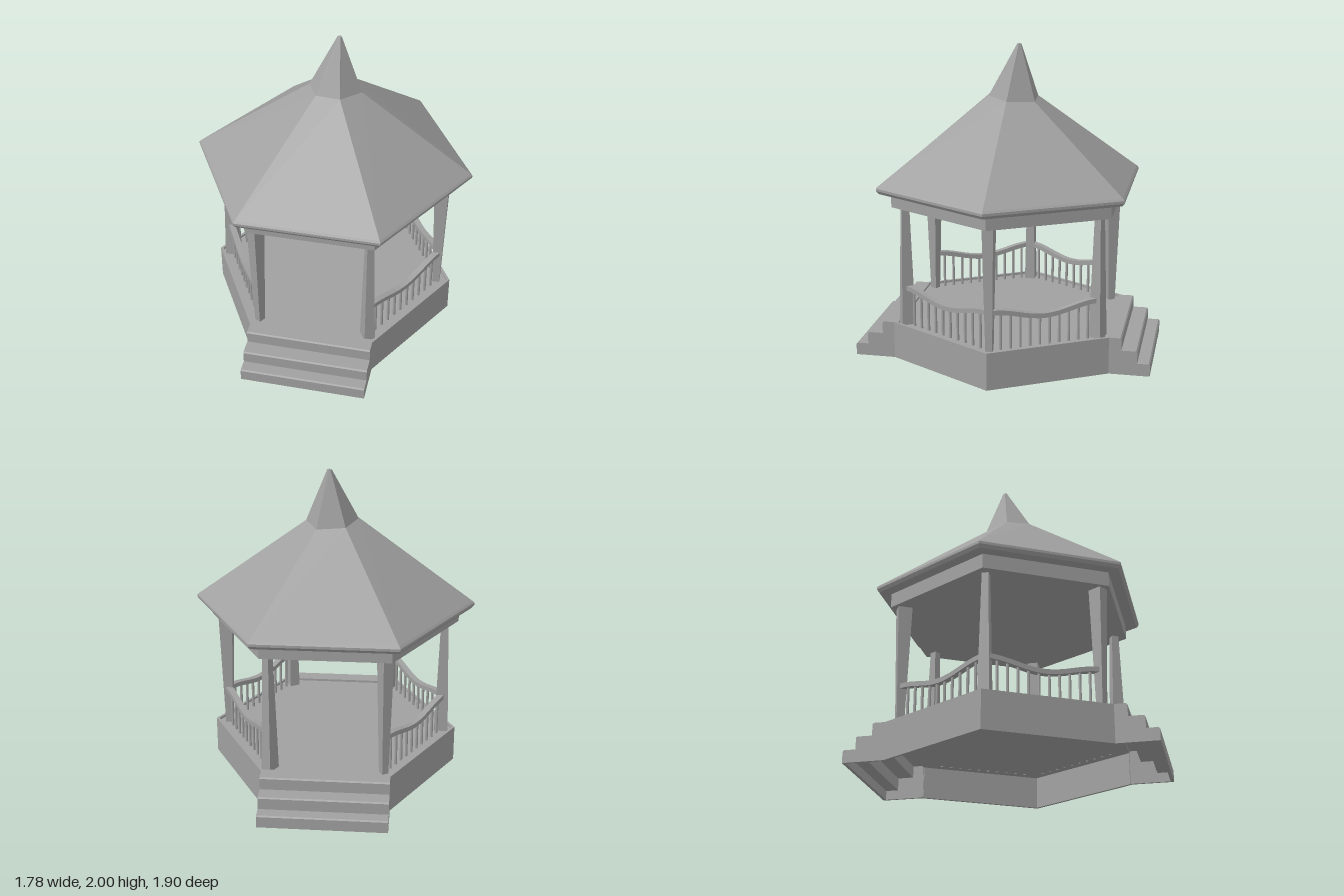
import * as THREE from 'three';

const grey = new THREE.MeshStandardMaterial({ color: 0xa0a0a0 });
grey.name = 'stone grey';
const V = (x, y, z) => new THREE.Vector3(x, y, z);

// Closed flat-faced solid through a series of rings with equal point counts
function loft(rings) {
  const pos = [];
  const tri = (...pts) => pts.forEach((p) => pos.push(p.x, p.y, p.z));
  const n = rings[0].length;
  for (let r = 0; r < rings.length - 1; r++) {
    const a = rings[r], b = rings[r + 1];
    for (let i = 0; i < n; i++) {
      const j = (i + 1) % n;
      tri(a[i], a[j], b[j]);
      tri(a[i], b[j], b[i]);
    }
  }
  const first = rings[0], last = rings[rings.length - 1];
  for (let i = 1; i < n - 1; i++) {
    tri(first[0], first[i + 1], first[i]);
    tri(last[0], last[i], last[i + 1]);
  }
  const g = new THREE.BufferGeometry();
  g.setAttribute('position', new THREE.Float32BufferAttribute(pos, 3));
  g.computeVertexNormals();
  return g;
}

function add(parent, name, geometry) {
  const m = new THREE.Mesh(geometry, grey);
  m.name = name;
  parent.add(m);
  return m;
}

// Hexagon with corners on the x axis, counter-clockwise from above
const hexRing = (r, y, cx = 0, cz = 0) =>
  Array.from({ length: 6 }, (_, i) => {
    const a = (i * Math.PI) / 3;
    return V(cx + r * Math.cos(a), y, cz - r * Math.sin(a));
  });

const rectRing = (w, d, y) =>
  [[1, 1], [1, -1], [-1, -1], [-1, 1]].map(([x, z]) => V((x * w) / 2, y, (z * d) / 2));

function place(object, angle, radius) {
  object.position.set(radius * Math.cos(angle), 0, -radius * Math.sin(angle));
}

// Stepped shell, open underneath, closed by side panels
function makeStairs() {
  const stairs = new THREE.Group();
  stairs.name = 'stairs';
  const c = 0.008;
  const outer = [[0.665, 0.24]];
  [[0.77, 0.24, 0.16], [0.87, 0.16, 0.08], [0.95, 0.08, 0]].forEach(([z, top, low]) => {
    outer.push([z - c, top], [z, top - c], [z, low]);
  });
  const inner = [[0.93, 0], [0.93, 0.06], [0.85, 0.06], [0.85, 0.14],
    [0.75, 0.14], [0.75, 0.215], [0.665, 0.215]];
  const panel = [[0.68, 0], [0.68, 0.24], ...outer.slice(1)];
  const extrude = (pts, depth, x) => {
    const shape = new THREE.Shape(pts.map(([a, b]) => new THREE.Vector2(a, b)));
    return new THREE.ExtrudeGeometry(shape, { depth, bevelEnabled: false })
      .rotateY(-Math.PI / 2).translate(x, 0, 0);
  };
  add(stairs, 'steps', extrude([...outer, ...inner], 0.8, 0.4));
  add(stairs, 'stairSideLeft', extrude(panel, 0.015, 0.4005));
  add(stairs, 'stairSideRight', extrude(panel, 0.015, -0.3855));
  return stairs;
}

// Sagging handrail with balusters, along local x
function makeRailing() {
  const railing = new THREE.Group();
  railing.name = 'railing';
  const height = (x) => 0.472 - 0.056 * Math.cos((x / 0.7) * Math.PI) ** 2;
  const rings = [];
  for (let i = 0; i <= 16; i++) {
    const x = -0.34 + (0.68 * i) / 16, y = height(x);
    rings.push([[-1, -1], [1, -1], [1, 1], [-1, 1]].map(([a, b]) => V(x, y + a * 0.015, b * 0.02)));
  }
  add(railing, 'handrail', loft(rings));
  for (let i = 0; i < 10; i++) {
    const x = -0.285 + (0.57 * i) / 9, h = height(x) - 0.2;
    add(railing, 'baluster', new THREE.CylinderGeometry(0.009, 0.009, h, 8))
      .position.set(x, 0.2 + h / 2, 0);
  }
  return railing;
}

export function createModel() {
  const model = new THREE.Group();
  model.name = 'gazebo';

  // Platform: thin floor set inside low walls, with stairs front and back
  add(model, 'floor', loft([hexRing(0.785, 0.205), hexRing(0.785, 0.225)]));
  const front = makeStairs(), back = makeStairs();
  front.name = 'frontStairs';
  back.name = 'backStairs';
  back.rotation.y = Math.PI;
  model.add(front, back);

  // Base walls and railings on the four closed sides
  const apothem = Math.cos(Math.PI / 6);
  [30, 150, 210, 330].forEach((deg) => {
    const a = THREE.MathUtils.degToRad(deg);
    const outerR = 0.8, innerR = 0.78, o = outerR / 2, n = innerR / 2;
    const wall = add(model, 'baseWall', loft([0, 0.24].map((y) => [
      V(-o, y, outerR * apothem), V(o, y, outerR * apothem),
      V(n, y, innerR * apothem), V(-n, y, innerR * apothem),
    ])));
    wall.rotation.y = a + Math.PI / 2;
    const railing = makeRailing();
    place(railing, a, 0.715 * apothem);
    railing.rotation.y = a + Math.PI / 2;
    model.add(railing);
  });

  // Posts, alternately widening upward and downward
  for (let i = 0; i < 6; i++) {
    const a = (i * Math.PI) / 3;
    const wide = [0.09, 0.07], thin = [0.045, 0.042];
    const [low, high] = i % 2 ? [wide, thin] : [thin, wide];
    const post = add(model, 'post', loft([rectRing(...low, 0.21), rectRing(...high, 1.02)]));
    place(post, a, 0.71);
    post.rotation.y = a;
  }

  // Roof beam and ceiling
  add(model, 'roofBeam', loft([hexRing(0.797, 1.005), hexRing(0.797, 1.105)]));

  // Roof with a crooked, tilted peak
  const kink = [[0.18, 0], [0.1, -0.165], [-0.08, -0.155], [-0.15, 0], [-0.08, 0.135], [0.07, 0.135]]
    .map(([x, z]) => V(x, 1.668 - 0.06 * x + 0.08 * z, z));
  add(model, 'roof', loft([
    hexRing(0.875, 1.097), hexRing(0.892, 1.117), hexRing(0.892, 1.133), hexRing(0.88, 1.145),
    kink, hexRing(0.014, 2.0, 0.028, -0.052),
  ]));
  return model;
}
